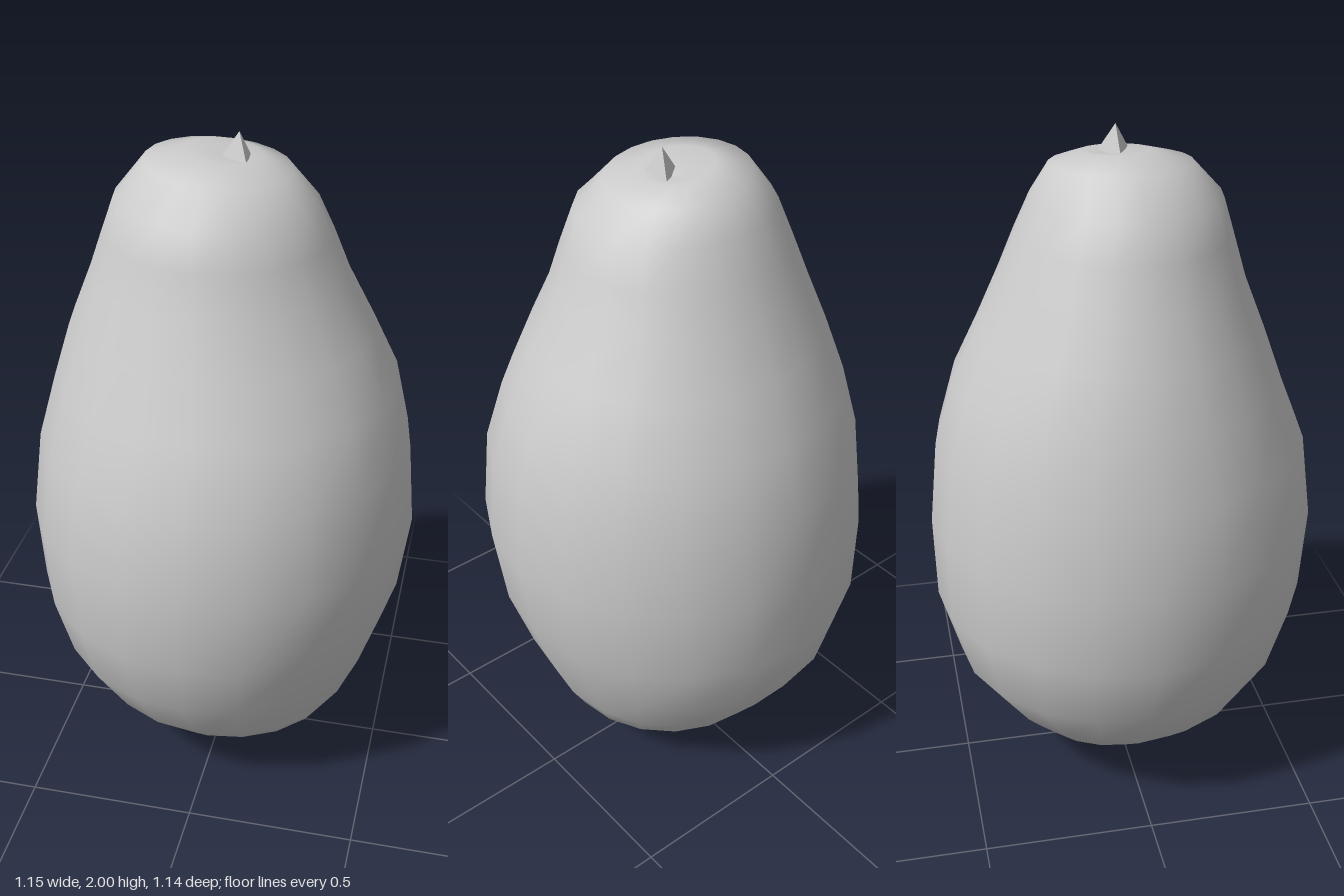
import * as THREE from 'three';

// Cross-sections from the base to the crown: [y, xMin, xMax, zMin, zMax, tilt]
// tilt is how far the left edge of the ring drops
const SECTIONS = [
  [0.03, 0.07, 0.07, -0.05, -0.05, 0], // blossom-end dimple
  [0.005, 0.02, 0.12, -0.12, 0.05, 0.004],
  [0.03, -0.1, 0.16, -0.18, 0.12, 0],
  [0.1, -0.23, 0.27, -0.28, 0.24, 0],
  [0.18, -0.33, 0.37, -0.35, 0.34, 0],
  [0.25, -0.405, 0.41, -0.405, 0.41, 0],
  [0.4, -0.51, 0.475, -0.505, 0.49, 0],
  [0.6, -0.56, 0.54, -0.563, 0.555, 0],
  [0.85, -0.575, 0.572, -0.568, 0.575, 0],
  [1.1, -0.545, 0.55, -0.542, 0.545, 0],
  [1.29, -0.495, 0.505, -0.485, 0.47, 0],
  [1.45, -0.445, 0.43, -0.41, 0.41, 0],
  [1.6, -0.385, 0.352, -0.345, 0.35, 0],
  [1.72, -0.342, 0.305, -0.295, 0.315, 0],
  [1.82, -0.305, 0.26, -0.25, 0.285, 0],
  [1.912, -0.22, 0.185, -0.195, 0.2, 0.015],
  [1.94, -0.11, 0.1, -0.11, 0.09, 0.012],
  [1.92, 0.03, 0.03, -0.02, -0.02, 0], // hollow round the stem
];
const SIDES = 20;

function fruitGeometry() {
  const positions = [], index = [];
  SECTIONS.forEach(([y, x0, x1, z0, z1, tilt], i) => {
    for (let j = 0; j < SIDES; j++) {
      const a = (j / SIDES) * Math.PI * 2, c = Math.cos(a), s = Math.sin(a);
      positions.push((x0 + x1) / 2 + c * (x1 - x0) / 2, y - c * tilt, (z0 + z1) / 2 + s * (z1 - z0) / 2);
      if (i === SECTIONS.length - 1) continue;
      const k = i * SIDES, n = (j + 1) % SIDES;
      index.push(k + j, k + SIDES + j, k + n, k + n, k + SIDES + j, k + SIDES + n);
    }
  });
  const geometry = new THREE.BufferGeometry();
  geometry.setAttribute('position', new THREE.Float32BufferAttribute(positions, 3));
  geometry.setIndex(index);
  geometry.computeVertexNormals();
  return geometry;
}

export function createModel() {
  const group = new THREE.Group();
  group.name = 'fruit';

  // Pear-shaped body
  const body = new THREE.Mesh(fruitGeometry(), new THREE.MeshStandardMaterial({ color: 0xcccccc }));
  body.name = 'body';
  group.add(body);

  // Small three-sided stem stub
  const stem = new THREE.Mesh(
    new THREE.ConeGeometry(0.06, 0.09, 3),
    new THREE.MeshStandardMaterial({ color: 0xcccccc, flatShading: true })
  );
  stem.name = 'stem';
  stem.position.set(0.038, 1.955, 0);
  stem.rotation.y = 0.6;
  group.add(stem);

  return group;
}
